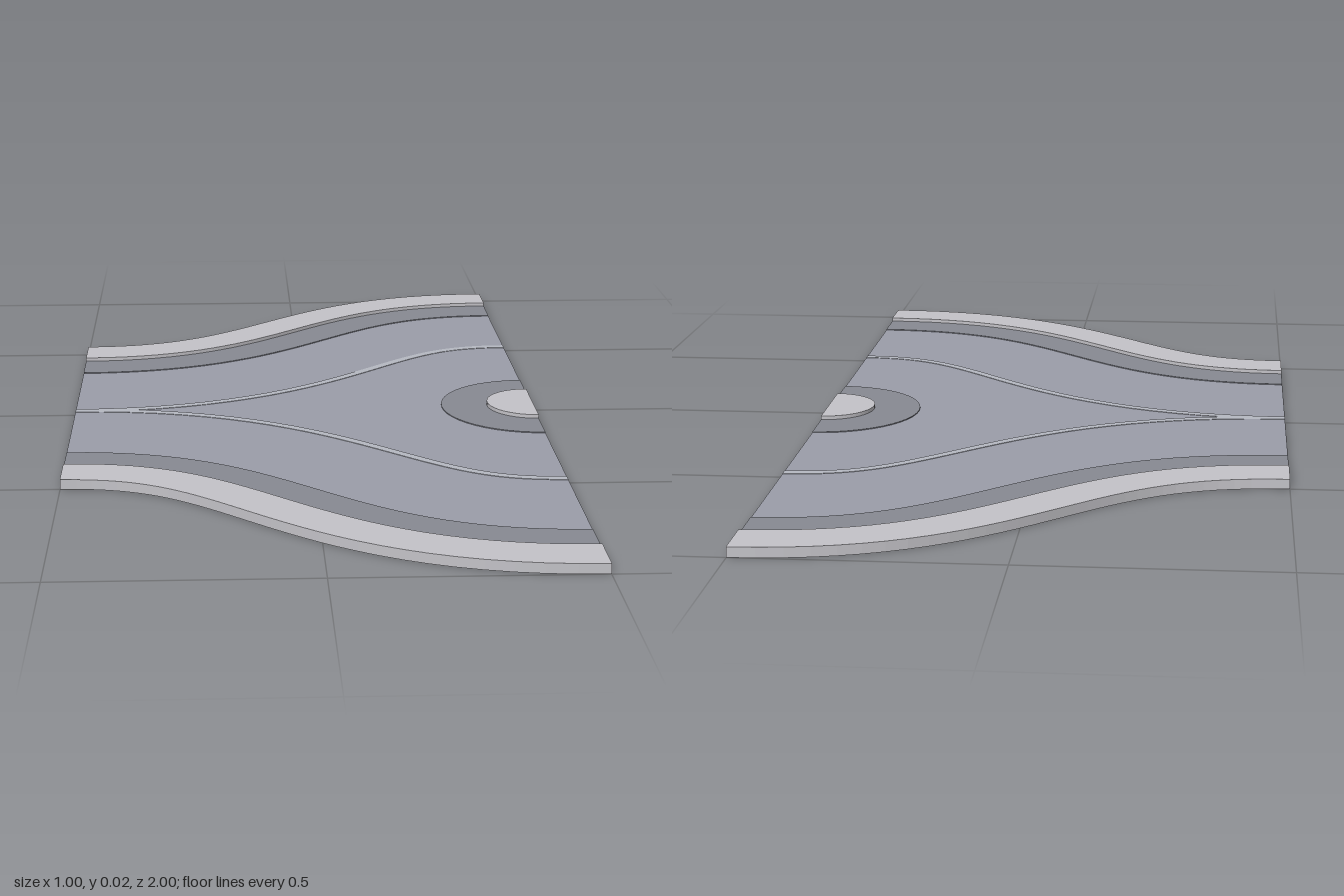
import * as THREE from 'three';

const SEGMENTS = 32;
const ROAD_TOP = 0.01, GUTTER_TOP = 0.012, KERB_TOP = 0.02;

const material = (color) => new THREE.MeshStandardMaterial({ color });
const kerbMat = material(0xc4c3c8);
const gutterMat = material(0x888a93);
const roadMat = material(0x9b9da9);
const lineMat = material(0xb6b9c2);

// S-curve in the ground plane: starts at z = offset, ends half a unit further out.
// It runs parallel to a Bezier guide that starts at z = guide.
function edge(offset, guide, side) {
  const bezier = new THREE.CubicBezierCurve(
    new THREE.Vector2(-0.5, guide), new THREE.Vector2(0, guide),
    new THREE.Vector2(0, guide + 0.5), new THREE.Vector2(0.5, guide + 0.5));
  const points = [];
  for (let i = 0; i <= SEGMENTS; i++) {
    const p = bezier.getPoint(i / SEGMENTS);
    const t = bezier.getTangent(i / SEGMENTS);
    const d = offset - guide;
    points.push(new THREE.Vector2(p.x - t.y * d, side * (p.y + t.x * d)));
  }
  return points;
}

// Half circle around the middle of the wide end, open towards +x
function halfCircle(radius) {
  const points = [];
  for (let i = 0; i <= 24; i++) {
    const a = Math.PI / 2 + (i / 24) * Math.PI;
    points.push(new THREE.Vector2(0.5 + radius * Math.cos(a), radius * Math.sin(a)));
  }
  return points;
}

// Flat slab from an outline in x and z
function slab(name, outline, bottom, top, mat) {
  const geometry = new THREE.ExtrudeGeometry(new THREE.Shape(outline), {
    depth: top - bottom, bevelEnabled: false,
  });
  geometry.rotateX(Math.PI / 2);
  geometry.translate(0, top, 0);
  const mesh = new THREE.Mesh(geometry, mat);
  mesh.name = name;
  return mesh;
}

export function createModel() {
  const group = new THREE.Group();
  group.name = 'roadSplit';

  const strip = (name, inner, outer, guide, side, bottom, top, mat) => group.add(slab(
    name, [...edge(inner, guide, side), ...edge(outer, guide, side).reverse()], bottom, top, mat));

  // Kerb, gutter and lane line along each side
  const sides = [
    { name: 'front', side: 1, guide: 0.3 },
    { name: 'back', side: -1, guide: 0.4 },
  ];
  for (const { name, side, guide } of sides) {
    strip(name + 'Kerb', 0.4, 0.5, guide, side, 0, KERB_TOP, kerbMat);
    strip(name + 'Gutter', 0.3, 0.4, guide, side, 0, GUTTER_TOP, gutterMat);
    strip(name + 'LaneLine', -0.01, 0.01, 0.25, side, ROAD_TOP - 0.002, ROAD_TOP + 0.001, lineMat);
  }

  // Road surface between the gutters, notched around the island
  group.add(slab('road', [
    ...edge(0.3, sides[0].guide, 1),
    ...halfCircle(0.2),
    ...edge(0.3, sides[1].guide, -1).reverse(),
  ], 0, ROAD_TOP, roadMat));

  // Half-round traffic island with its gutter
  group.add(slab('islandGutter', [...halfCircle(0.2), ...halfCircle(0.1).reverse()],
    0, GUTTER_TOP, gutterMat));
  group.add(slab('island', halfCircle(0.1), 0, KERB_TOP, kerbMat));

  return group;
}
